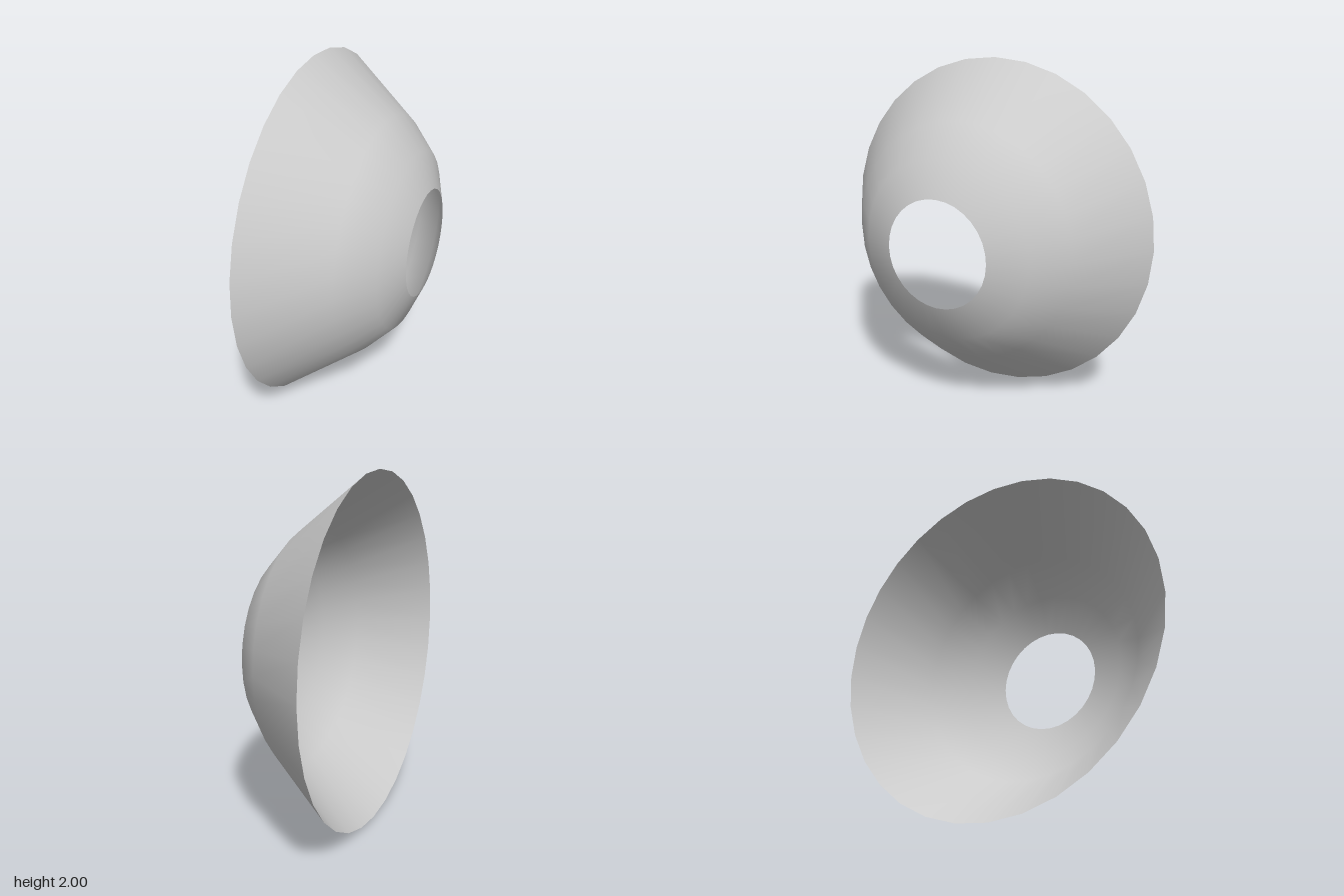
import * as THREE from 'three';

export function createModel() {
  const group = new THREE.Group();
  group.name = 'openShade';

  // Profile as radius, distance along the axis: wide rim to narrow opening
  const profile = [
    [1.0, -0.325],
    [0.69, 0.075],
    [0.515, 0.24],
    [0.31, 0.325],
  ].map(([r, d]) => new THREE.Vector2(r, d));

  // Thin shell turned around the axis, then laid so the narrow end points to +x
  const geometry = new THREE.LatheGeometry(profile, 32);
  geometry.rotateZ(-Math.PI / 2);

  const shell = new THREE.Mesh(
    geometry,
    new THREE.MeshStandardMaterial({ color: 0xcccccc, side: THREE.DoubleSide })
  );
  shell.name = 'shadeShell';
  shell.position.y = 1;
  group.add(shell);

  return group;
}
